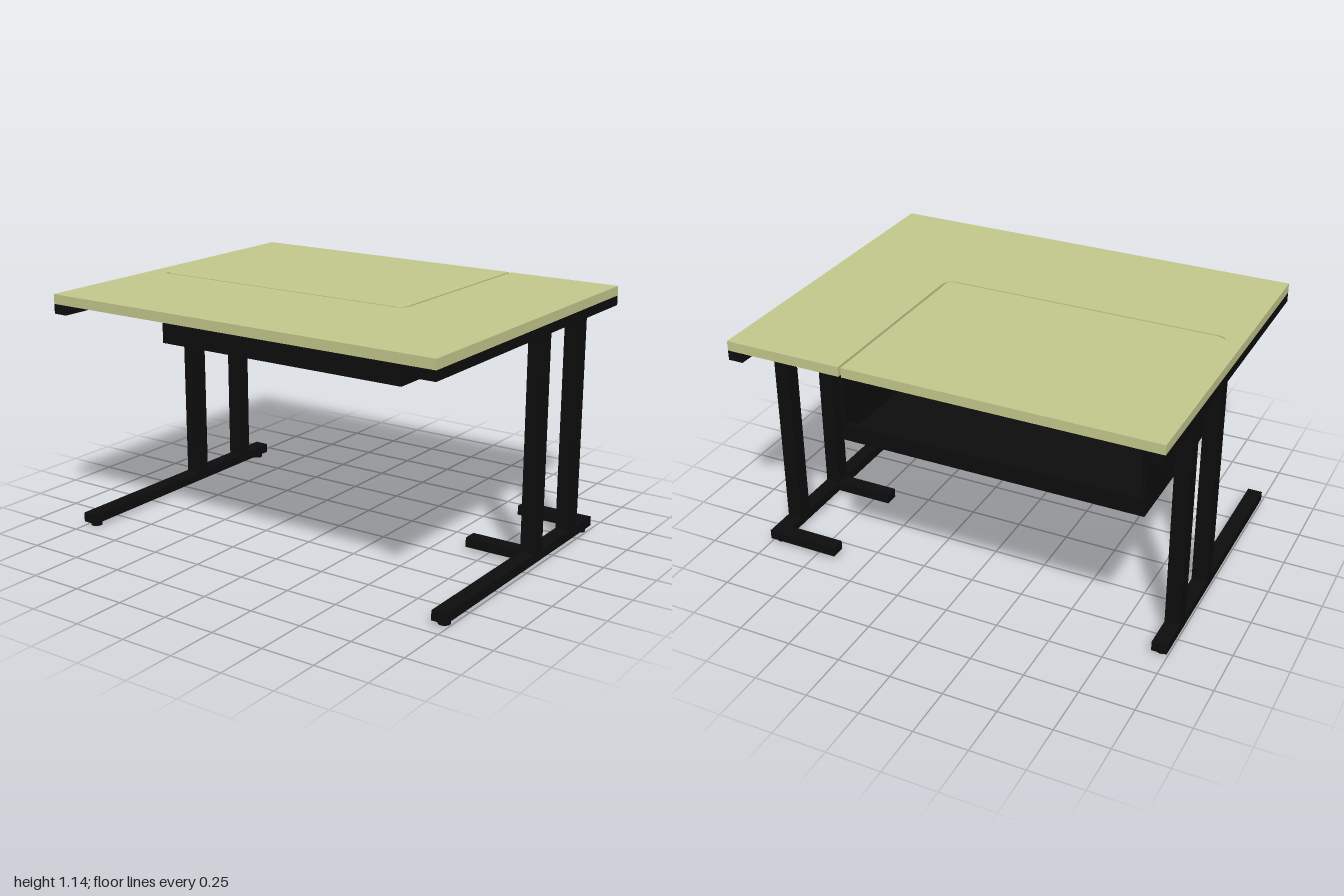
import * as THREE from 'three';

const wood = new THREE.MeshStandardMaterial({ color: 0xc4c98d, side: THREE.DoubleSide });
const black = new THREE.MeshStandardMaterial({ color: 0x0d0d0d });

// Box given by its min and max along each axis
function bar(parent, name, [x0, x1], [y0, y1], [z0, z1]) {
  const mesh = new THREE.Mesh(new THREE.BoxGeometry(x1 - x0, y1 - y0, z1 - z0), black);
  mesh.position.set((x0 + x1) / 2, (y0 + y1) / 2, (z0 + z1) / 2);
  mesh.name = name;
  parent.add(mesh);
}

// Lays a plan shape (x, z) flat and extrudes it from y0 to y1
function slab(shape, y0, y1, material, name) {
  const geo = new THREE.ExtrudeGeometry(shape, { depth: y1 - y0, bevelEnabled: false, curveSegments: 8 });
  geo.rotateX(Math.PI / 2);
  const mesh = new THREE.Mesh(geo, material);
  mesh.position.y = y1;
  mesh.name = name;
  return mesh;
}

// Worktop with an L-shaped slit that opens at the back edge
function worktopShape() {
  const s = new THREE.Shape();
  s.moveTo(-1, -0.805);
  s.lineTo(0.433, -0.805);
  s.lineTo(0.433, 0.1);
  s.quadraticCurveTo(0.433, 0.147, 0.39, 0.147);
  s.lineTo(-0.87, 0.147);
  s.quadraticCurveTo(-0.9, 0.147, -0.92, 0.128);
  s.quadraticCurveTo(-0.905, 0.157, -0.87, 0.157);
  s.lineTo(0.39, 0.157);
  s.quadraticCurveTo(0.446, 0.157, 0.446, 0.1);
  s.lineTo(0.446, -0.805);
  s.lineTo(1, -0.805);
  s.lineTo(1, 0.805);
  s.lineTo(-1, 0.805);
  s.closePath();
  return s;
}

// One side frame: top rail, two columns, floor bar and round pads
function sideFrame(side) {
  const g = new THREE.Group();
  g.name = side > 0 ? 'leftFrame' : 'rightFrame';
  const x = side > 0 ? [0.93, 1] : [-1, -0.93];
  bar(g, 'topRail', x, [1.055, 1.1], [-0.805, 0.805]);
  bar(g, 'floorBar', x, [0.02, 0.065], [-0.64, 0.69]);
  for (const z of [-0.485, -0.14]) bar(g, 'column', x, [0.065, 1.055], [z, z + 0.075]);
  for (const z of [-0.595, 0.645]) {
    const pad = new THREE.Mesh(new THREE.CylinderGeometry(0.027, 0.027, 0.02, 16), black);
    pad.position.set(side * 0.965, 0.01, z);
    pad.name = 'footPad';
    g.add(pad);
  }
  return g;
}

export function createModel() {
  const model = new THREE.Group();
  model.name = 'desk';
  model.add(slab(worktopShape(), 1.1, 1.145, wood, 'worktop'));
  model.add(sideFrame(1), sideFrame(-1));

  // Short inward supports on the left frame
  for (const z of [-0.64, -0.14]) bar(model, 'floorSupport', [0.65, 0.93], [0.02, 0.065], [z, z + 0.07]);

  // Compartment under the slit, open at the back above a low lip
  const box = new THREE.Group();
  box.name = 'compartment';
  bar(box, 'floor', [-0.927, 0.446], [0.8, 0.82], [-0.805, 0.172]);
  bar(box, 'frontWall', [-0.927, 0.446], [0.82, 1.1], [0.145, 0.172]);
  bar(box, 'leftWall', [0.426, 0.446], [0.82, 1.1], [-0.805, 0.145]);
  bar(box, 'rightWall', [-0.927, -0.907], [0.82, 1.1], [-0.805, 0.145]);
  bar(box, 'backLip', [-0.907, 0.426], [0.82, 0.88], [-0.805, -0.785]);
  // Fills the rounded corner beneath the slit
  bar(box, 'cornerPost', [0.38, 0.426], [0.82, 1.1], [0.1, 0.145]);
  model.add(box);
  return model;
}
